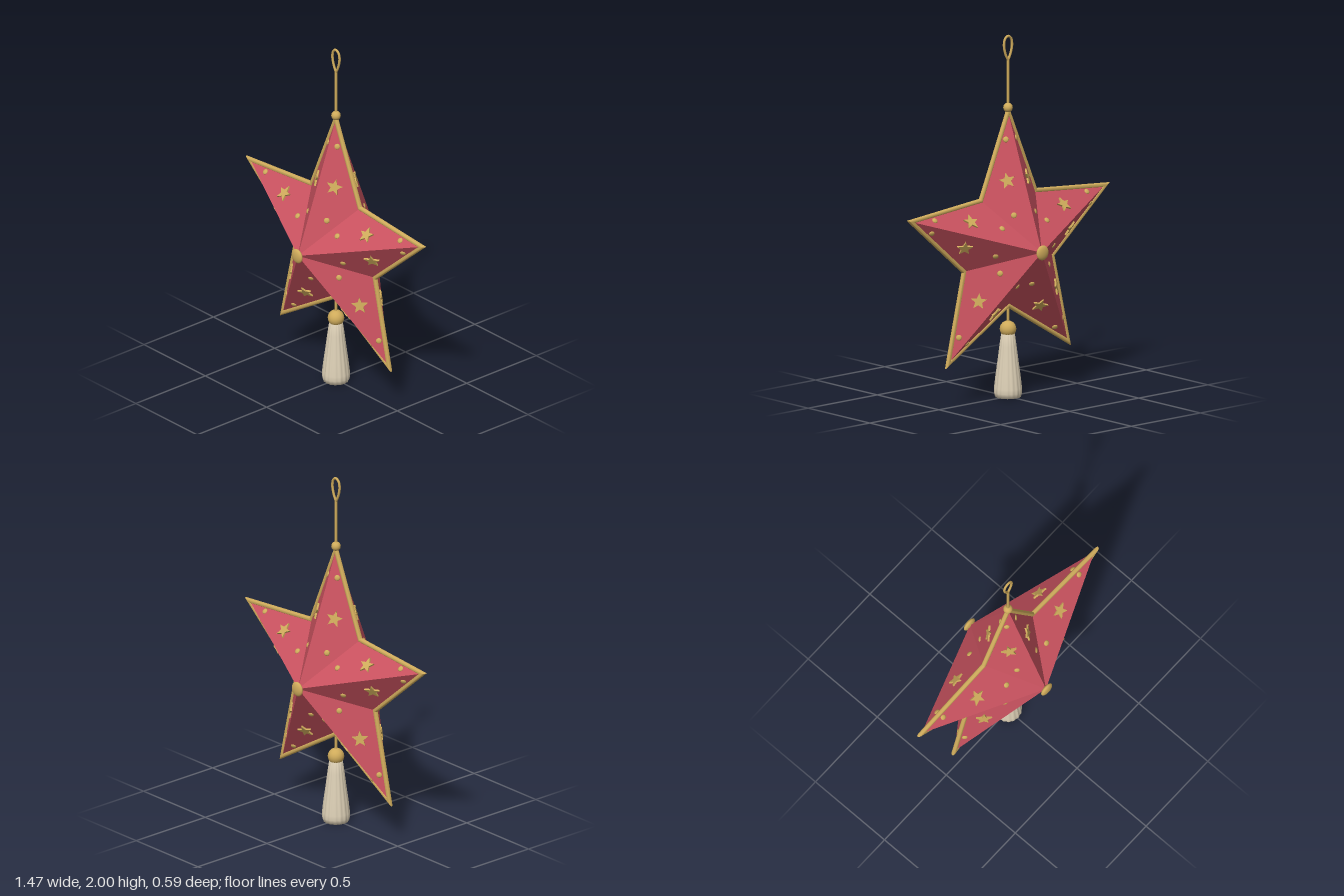
import * as THREE from 'three';
import { toCreasedNormals } from 'three/addons/utils/BufferGeometryUtils.js';

const CENTRE_Y = 0.84, TIP_R = 0.737, NOTCH_R = 0.335, APEX = 0.275;

// corners alternate tip, notch, counter-clockwise from the top tip
function corner(i) {
  const a = Math.PI / 2 + i * Math.PI / 5, r = i % 2 ? NOTCH_R : TIP_R;
  return new THREE.Vector3(Math.cos(a) * r, Math.sin(a) * r, 0);
}

// double-sided faceted star with a raised centre on each face
function starBodyGeometry() {
  const pts = [];
  const front = new THREE.Vector3(0, 0, APEX), back = new THREE.Vector3(0, 0, -APEX);
  for (let i = 0; i < 10; i++) {
    const p = corner(i), q = corner(i + 1);
    pts.push(front, p, q, back, q, p);
  }
  const g = new THREE.BufferGeometry().setFromPoints(pts);
  g.computeVertexNormals();
  return g;
}

// round rod around the outline, mitred at every corner
function trimGeometry(radius, sides = 12) {
  const pos = [], index = [];
  for (let i = 0; i < 10; i++) {
    const p = corner(i), radial = p.clone().normalize();
    const edge = corner(i + 1).sub(p).normalize();
    const miter = radius / Math.sin(edge.angleTo(radial));
    for (let j = 0; j < sides; j++) {
      const t = j / sides * Math.PI * 2;
      const v = p.clone().addScaledVector(radial, Math.cos(t) * miter);
      pos.push(v.x, v.y, Math.sin(t) * radius);
      const a = i * sides + j, b = i * sides + (j + 1) % sides;
      const c = ((i + 1) % 10) * sides + j, d = ((i + 1) % 10) * sides + (j + 1) % sides;
      index.push(a, c, b, b, c, d);
    }
  }
  const g = new THREE.BufferGeometry();
  g.setAttribute('position', new THREE.Float32BufferAttribute(pos, 3));
  g.setIndex(index);
  return toCreasedNormals(g, 0.65);
}

function smallStarGeometry() {
  const s = new THREE.Shape();
  for (let i = 0; i < 10; i++) {
    const a = Math.PI / 2 + i * Math.PI / 5, r = i % 2 ? 0.02 : 0.046;
    s[i ? 'lineTo' : 'moveTo'](Math.cos(a) * r, Math.sin(a) * r);
  }
  s.closePath();
  return new THREE.ExtrudeGeometry(s, { depth: 0.013, bevelEnabled: false }).translate(0, 0, -0.003);
}

// fluted skirt of threads, gathered at the top
function tasselGeometry() {
  const profile = [[0.001, 0.02], [0.05, 0.012], [0.07, 0], [0.077, 0.025], [0.076, 0.05], [0.068, 0.12],
    [0.057, 0.2], [0.047, 0.28], [0.037, 0.35], [0.001, 0.375]].map(p => new THREE.Vector2(...p));
  const g = new THREE.LatheGeometry(profile, 64);
  const p = g.attributes.position;
  for (let i = 0; i < p.count; i++) {
    const x = p.getX(i), z = p.getZ(i);
    const k = 0.94 + 0.06 * Math.abs(Math.cos(Math.atan2(z, x) * 8));
    p.setX(i, x * k);
    p.setZ(i, z * k);
  }
  g.computeVertexNormals();
  return g;
}

export function createModel() {
  const red = new THREE.MeshStandardMaterial({ color: 0xc9525f });
  red.name = 'rose red';
  const gold = new THREE.MeshStandardMaterial({ color: 0xcfab5b });
  gold.name = 'gold';
  const cream = new THREE.MeshStandardMaterial({ color: 0xddd0b6 });
  cream.name = 'cream';

  const model = new THREE.Group();
  model.name = 'starOrnament';
  const add = (parent, name, geometry, material, x = 0, y = 0, z = 0) => {
    const m = new THREE.Mesh(geometry, material);
    m.name = name;
    m.position.set(x, y, z);
    parent.add(m);
    return m;
  };

  // star with gold outline and a boss on each face
  const star = new THREE.Group();
  star.name = 'star';
  star.position.y = CENTRE_Y;
  model.add(star);
  add(star, 'starBody', starBodyGeometry(), red);
  add(star, 'edgeTrim', trimGeometry(0.013), gold);
  const boss = new THREE.SphereGeometry(0.041, 24, 16).scale(1, 1, 0.4);
  for (const s of [1, -1]) add(star, 'centreBoss', boss, gold, 0, 0, s * 0.28);

  // facet slopes, used to lay the studs and small stars flat on the faces
  const notch = corner(9);
  const slopeY = APEX / TIP_R, slopeX = (APEX - slopeY * notch.y) / notch.x;
  const smallStar = smallStarGeometry();
  const stud = new THREE.SphereGeometry(0.016, 14, 10).scale(1, 1, 0.5);
  const ornaments = [['smallStar', smallStar, 0.07, 0.375], ['stud', stud, 0.036, 0.59], ['stud', stud, 0.077, 0.195]];

  for (const turn of [0, Math.PI]) {
    for (let k = 0; k < 5; k++) {
      const arm = new THREE.Group();
      arm.name = turn ? 'backArmOrnaments' : 'frontArmOrnaments';
      arm.rotation.set(0, turn, k * Math.PI * 2 / 5);
      star.add(arm);
      for (const s of [1, -1]) {
        const n = new THREE.Vector3(s * slopeX, slopeY, 1).normalize();
        const up = new THREE.Vector3(0, 1, -slopeY).normalize();
        const basis = new THREE.Matrix4().makeBasis(up.clone().cross(n), up, n);
        for (const [name, geometry, x, y] of ornaments) {
          const m = add(arm, name, geometry, gold, s * x, y, APEX - slopeX * x - slopeY * y);
          m.quaternion.setFromRotationMatrix(basis);
        }
      }
    }
  }

  // hanging cord, bead and loop
  add(model, 'topBead', new THREE.SphereGeometry(0.026, 20, 14), gold, 0, 1.598);
  add(model, 'hangingCord', new THREE.CylinderGeometry(0.007, 0.007, 0.28, 10), gold, 0, 1.725);
  const loop = new THREE.CatmullRomCurve3([[0, 1.86], [0.018, 1.895], [0.029, 1.945], [0.021, 1.98], [0, 1.993],
    [-0.021, 1.98], [-0.029, 1.945], [-0.018, 1.895], [0, 1.86]].map(([x, y]) => new THREE.Vector3(x, y, 0)));
  add(model, 'hangingLoop', new THREE.TubeGeometry(loop, 48, 0.007, 8), gold);

  // tassel hung below the lower notch
  add(model, 'tasselCord', new THREE.CylinderGeometry(0.007, 0.007, 0.12, 10), gold, 0, 0.45);
  add(model, 'tasselBead', new THREE.SphereGeometry(0.045, 24, 16), gold, 0, 0.375);
  add(model, 'tassel', tasselGeometry(), cream);

  return model;
}
